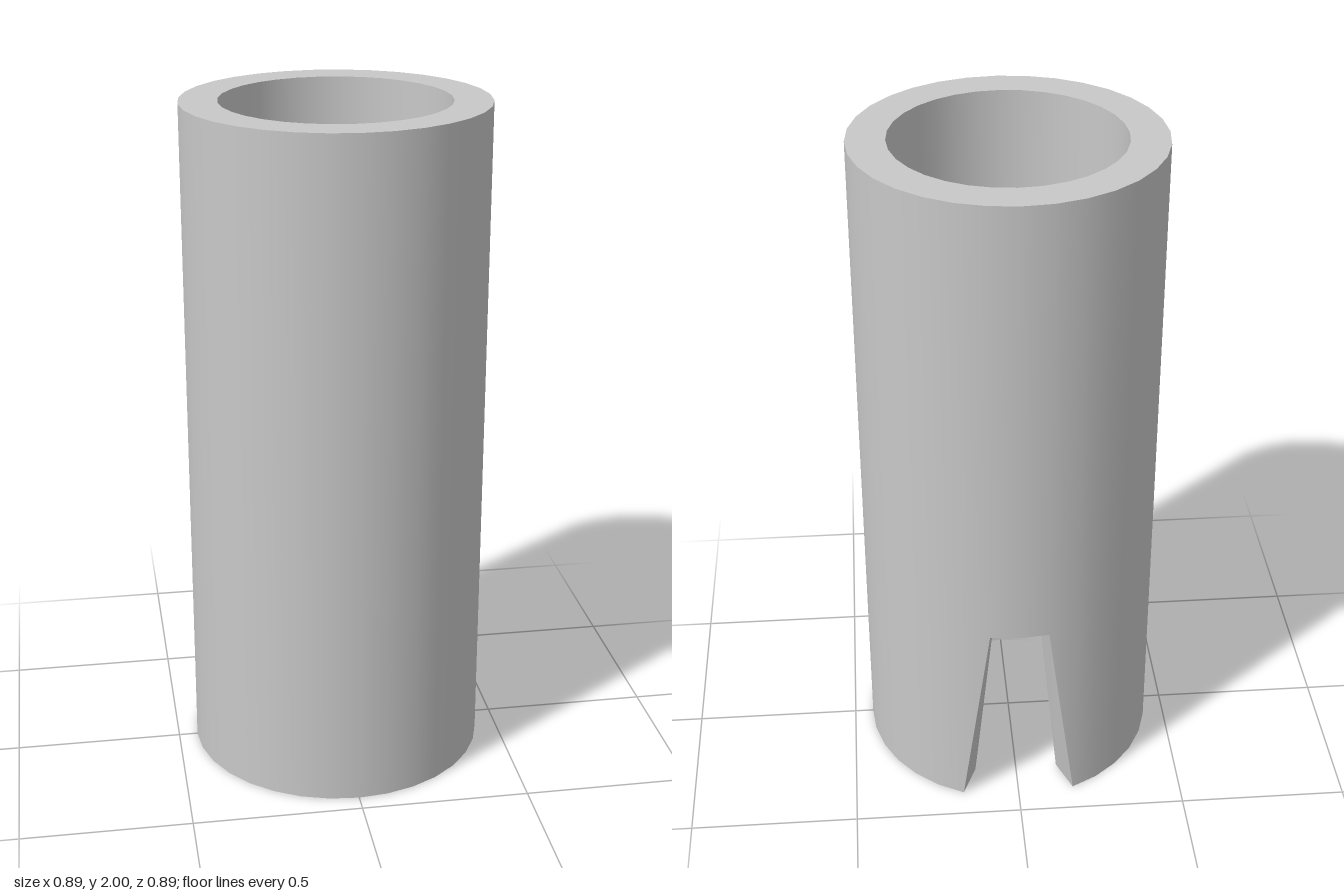
import * as THREE from 'three';

const OUTER = 0.443, INNER = 0.332, HEIGHT = 2, SIDES = 32;
const NOTCH_TOP = 0.625;

// Lift the bottom rim at the back: the neighbouring facets become the tapered notch sides
function cutNotch(geometry) {
  const p = geometry.attributes.position;
  const limit = 1.5 * (Math.PI * 2 / SIDES);
  for (let i = 0; i < p.count; i++) {
    const fromBack = Math.abs(Math.atan2(p.getX(i), -p.getZ(i)));
    if (p.getY(i) < 0.01 && fromBack < limit) p.setY(i, NOTCH_TOP);
  }
  return geometry;
}

// One band of the tube wall, swept around y between two profile points
function band(name, from, to, material, flat = false) {
  const points = [new THREE.Vector2(...from), new THREE.Vector2(...to)];
  let geometry = cutNotch(new THREE.LatheGeometry(points, SIDES));
  if (flat) {
    geometry = geometry.toNonIndexed();
    geometry.computeVertexNormals();
  }
  const mesh = new THREE.Mesh(geometry, material);
  mesh.name = name;
  return mesh;
}

export function createModel() {
  const group = new THREE.Group();
  group.name = 'notchedTube';
  const grey = new THREE.MeshStandardMaterial({ color: 0xc8c8c8 });
  grey.name = 'light grey';

  group.add(
    band('outerWall', [OUTER, 0], [OUTER, HEIGHT], grey),
    band('topRim', [OUTER, HEIGHT], [INNER, HEIGHT], grey, true),
    band('innerWall', [INNER, HEIGHT], [INNER, 0], grey),
    // Bottom rim, including the notch sides and its ceiling
    band('bottomRimAndNotch', [INNER, 0], [OUTER, 0], grey, true),
  );
  return group;
}
